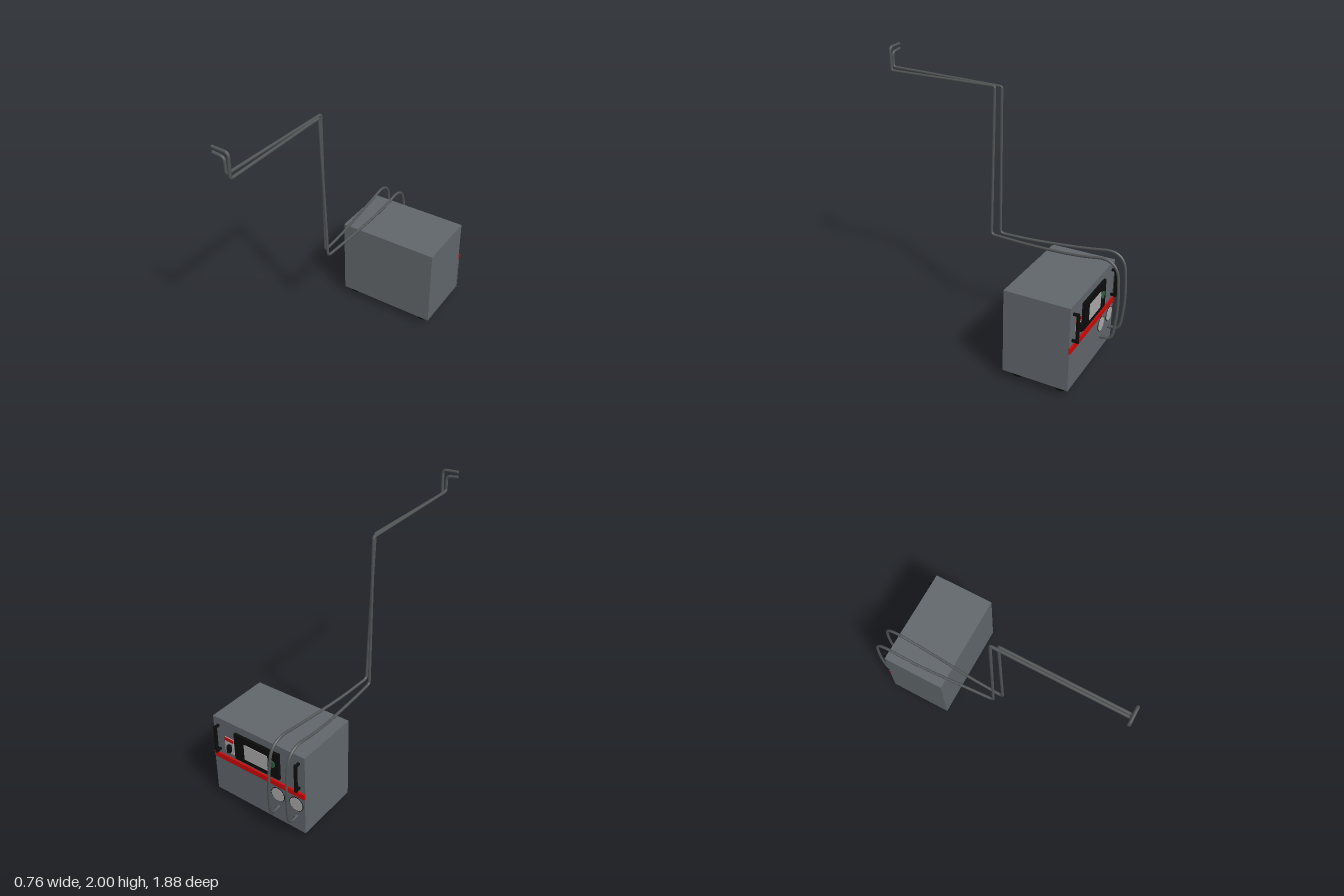
import * as THREE from 'three';

const mat = (color) => new THREE.MeshStandardMaterial({ color });
const BODY = mat(0x60666b), PANEL = mat(0x60666b), BLACK = mat(0x0c0c0c), RED = mat(0xcc0808);
const HOSE = mat(0x505354), LIGHT = mat(0xa8a8a8), GREEN = mat(0x2c5a40);
const BACK = -0.82; // plane of the control face

export function createModel() {
  const model = new THREE.Group();

  const add = (name, geometry, material, x = 0, y = 0, z = 0) => {
    const mesh = new THREE.Mesh(geometry, material);
    mesh.name = name;
    mesh.position.set(x, y, z);
    model.add(mesh);
    return mesh;
  };
  // Box given by its extents
  const block = (name, material, x0, x1, y0, y1, z0, z1) =>
    add(name, new THREE.BoxGeometry(x1 - x0, y1 - y0, z1 - z0), material,
      (x0 + x1) / 2, (y0 + y1) / 2, (z0 + z1) / 2);
  // Disc standing off the control face
  const disc = (name, material, r, x, y, z0, z1) =>
    add(name, new THREE.CylinderGeometry(r, r, z1 - z0, 32).rotateX(Math.PI / 2), material,
      x, y, (z0 + z1) / 2);

  // Cabinet, lower cover plate and red stripe
  block('cabinet', BODY, -0.38, 0.375, 0.065, 0.68, BACK, -0.35);
  block('lowerCover', PANEL, -0.38, 0.38, 0.065, 0.35, BACK - 0.006, BACK);
  block('redStripe', RED, -0.38, 0.38, 0.352, 0.392, BACK - 0.012, BACK);

  // Control panel with display and button
  block('controlPanel', BLACK, -0.185, 0.185, 0.42, 0.625, BACK - 0.018, BACK);
  block('display', LIGHT, -0.095, 0.1, 0.455, 0.575, BACK - 0.021, BACK);
  disc('greenButton', GREEN, 0.027, -0.13, 0.53, BACK - 0.024, BACK);

  // Power switch
  block('switchPlate', LIGHT, 0.205, 0.28, 0.43, 0.55, BACK - 0.006, BACK);
  block('switchCap', RED, 0.205, 0.28, 0.525, 0.55, BACK - 0.009, BACK);
  block('switchRocker', BLACK, 0.222, 0.247, 0.45, 0.505, BACK - 0.03, BACK);

  // Upright pull handles
  for (const x of [-0.335, 0.33]) {
    add('handleGrip', new THREE.CylinderGeometry(0.012, 0.012, 0.21, 16), BLACK, x, 0.525, BACK - 0.035);
    for (const y of [0.428, 0.622]) block('handleMount', BLACK, x - 0.008, x + 0.008, y - 0.008, y + 0.008, BACK - 0.035, BACK);
  }

  // Castor wheels
  for (const x of [-0.309, 0.298]) for (const z of [-0.425, -0.745]) {
    add('wheel', new THREE.CylinderGeometry(0.056, 0.056, 0.034, 32).rotateZ(Math.PI / 2), BLACK, x, 0.056, z);
  }

  // Gauges above the hose ports
  for (const x of [-0.312, -0.162]) {
    disc('gaugeRim', BLACK, 0.055, x, 0.283, BACK - 0.009, BACK);
    disc('gaugeFace', LIGHT, 0.051, x, 0.283, BACK - 0.011, BACK);
    disc('hosePort', HOSE, 0.014, x, 0.18, BACK - 0.03, BACK);
  }

  // Hose through points [x, y, z, corner radius]
  const hose = (name, points) => {
    const path = new THREE.CurvePath();
    const v = points.map((p) => new THREE.Vector3(p[0], p[1], p[2]));
    let from = v[0];
    for (let i = 1; i < v.length - 1; i++) {
      const cut = (to) => {
        const d = v[i].distanceTo(to);
        return v[i].clone().lerp(to, Math.min(points[i][3] / d, 0.49));
      };
      const a = cut(v[i - 1]), b = cut(v[i + 1]);
      path.add(new THREE.LineCurve3(from, a));
      path.add(new THREE.QuadraticBezierCurve3(a, v[i], b));
      from = b;
    }
    path.add(new THREE.LineCurve3(from, v[v.length - 1]));
    add(name, new THREE.TubeGeometry(path, 400, 0.01, 10), HOSE);
    // End caps
    const n = v.length - 1;
    for (const [end, next] of [[v[0], v[1]], [v[n], v[n - 1]]]) {
      const cap = add('hoseEnd', new THREE.CircleGeometry(0.01, 10), HOSE, end.x, end.y, end.z);
      cap.lookAt(end.clone().multiplyScalar(2).sub(next));
    }
  };
  // Shared run from port, over the cabinet, to the foot of the riser
  const lowerRun = (port, side, foot, z) => [
    [port, 0.18, -0.835, 0],
    [port, 0.18, -0.915, 0.08],
    [(port + side) / 2, 0.45, -0.94, 0.2],
    [side, 0.785, -0.905, 0.15],
    [side, 0.735, -0.6, 0.2],
    [foot + (side - foot) * 0.3, 0.717, -0.2, 0.15],
    [foot, 0.722, z, 0.03],
  ];
  hose('outerHose', [
    ...lowerRun(-0.315, -0.328, -0.288, 0.03),
    [-0.288, 1.81, 0.03, 0.012],
    [-0.298, 1.837, 0.925, 0.02],
    [-0.298, 1.945, 0.925, 0.025],
    [-0.38, 1.955, 0.925, 0],
  ]);
  hose('innerHose', [
    ...lowerRun(-0.165, -0.195, -0.235, 0.075),
    [-0.27, 1.81, 0.075, 0.012],
    [-0.272, 1.815, 0.925, 0.02],
    [-0.264, 1.985, 0.925, 0.03],
    [-0.38, 1.99, 0.925, 0],
  ]);

  return model;
}
